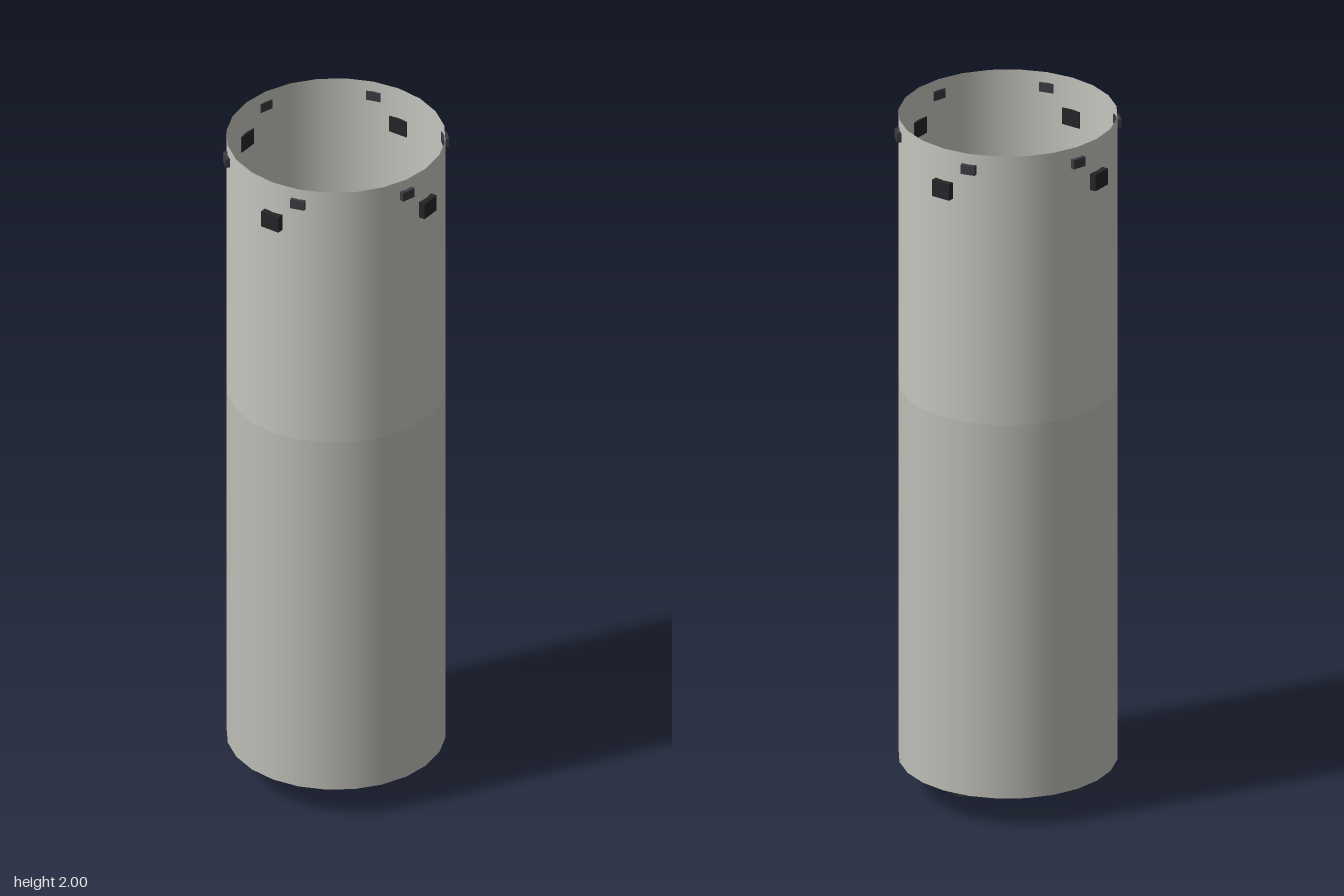
import * as THREE from 'three';

const mat = (color, side = THREE.FrontSide) => new THREE.MeshStandardMaterial({ color, side });

export function createModel() {
  const root = new THREE.Group();
  const shellMat = mat(0xc6c6c0, THREE.DoubleSide);
  const lowerMat = mat(0xbebeb8, THREE.DoubleSide);
  const dark = mat(0x252528);
  const slate = mat(0x3a3a40);
  const copper = mat(0xb06c48);
  const steel = mat(0x85858a);

  const add = (name, geometry, material, x = 0, y = 0, z = 0, parent = root) => {
    const mesh = new THREE.Mesh(geometry, material);
    mesh.name = name;
    mesh.position.set(x, y, z);
    parent.add(mesh);
    return mesh;
  };

  // Open tubular body in two sections
  const tube = (name, y0, y1, material) =>
    add(name, new THREE.CylinderGeometry(0.3, 0.3, y1 - y0, 24, 1, true), material, 0, (y0 + y1) / 2);
  tube('upperShell', 1.2, 2, shellMat);
  tube('lowerShell', 0.09, 1.2, lowerMat);

  // Bulkhead that carries the engines, slightly smaller than the shell
  add('engineBulkhead', new THREE.CylinderGeometry(0.296, 0.296, 0.015, 24), dark, 0, 0.198);

  // Two engines: head, bell and separate exit ring
  const bellProfile = [[0.054, 0.07], [0.051, 0.09], [0.046, 0.12], [0.038, 0.155], [0.029, 0.18], [0.02, 0.195]]
    .map(([r, y]) => new THREE.Vector2(r, y));
  for (const side of [-1, 1]) {
    const engine = new THREE.Group();
    engine.name = side > 0 ? 'leftEngine' : 'rightEngine';
    engine.position.x = side * 0.105;
    root.add(engine);
    add('engineHead', new THREE.CylinderGeometry(0.021, 0.025, 0.04, 16), steel, 0, 0.215, 0, engine);
    add('engineBell', new THREE.LatheGeometry(bellProfile, 20), copper, 0, 0, 0, engine);
    add('exitRing', new THREE.CylinderGeometry(0.059, 0.066, 0.036, 20, 1, true), dark, 0, 0.018, 0, engine);
  }

  // Blocks set through the wall around the top
  const ring = (name, count, offset, radius, y, size, material) => {
    const geometry = new THREE.BoxGeometry(...size);
    for (let i = 0; i < count; i++) {
      const a = offset + (i / count) * Math.PI * 2;
      add(name, geometry, material, Math.sin(a) * radius, y, Math.cos(a) * radius).rotation.y = a;
    }
  };
  ring('largeBlock', 4, Math.PI / 4, 0.304, 1.881, [0.058, 0.048, 0.022], dark);
  ring('smallBlock', 6, Math.PI / 6, 0.302, 1.955, [0.041, 0.027, 0.016], slate);

  return root;
}
